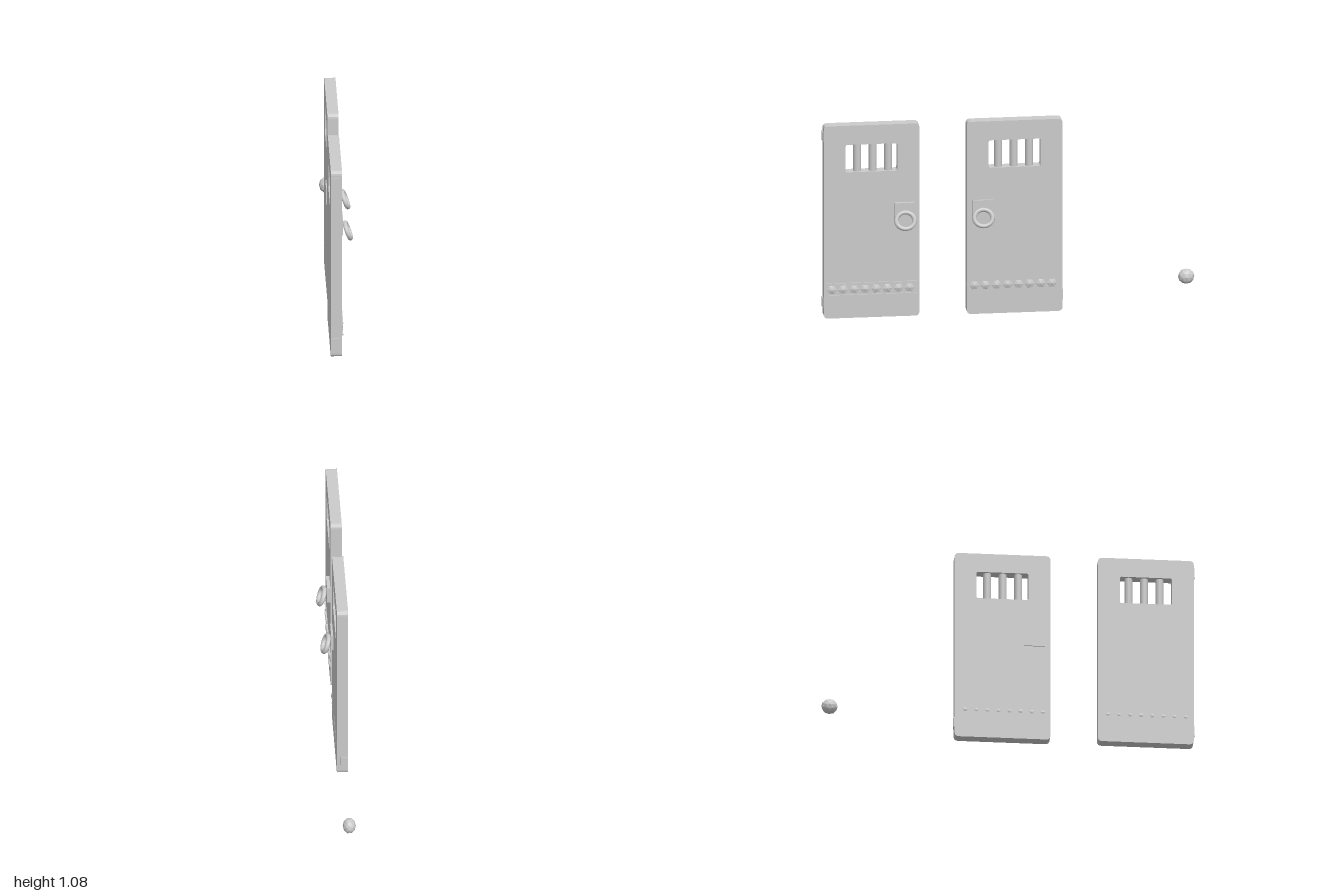
import * as THREE from 'three';

const grey = new THREE.MeshStandardMaterial({ color: 0xcccccc });
const faceted = new THREE.MeshStandardMaterial({ color: 0xcccccc, flatShading: true });

function add(parent, name, geometry, x, y, z, material = grey) {
  const mesh = new THREE.Mesh(geometry, material);
  mesh.name = name;
  mesh.position.set(x, y, z);
  parent.add(mesh);
  return mesh;
}

// Rounded rectangle outline, usable as a shape or a hole
function roundedRect(path, x0, y0, x1, y1, r) {
  path.moveTo(x0 + r, y0);
  path.lineTo(x1 - r, y0);
  path.quadraticCurveTo(x1, y0, x1, y0 + r);
  path.lineTo(x1, y1 - r);
  path.quadraticCurveTo(x1, y1, x1 - r, y1);
  path.lineTo(x0 + r, y1);
  path.quadraticCurveTo(x0, y1, x0, y1 - r);
  path.lineTo(x0, y0 + r);
  path.quadraticCurveTo(x0, y0, x0 + r, y0);
  return path;
}

// Faceted stud, slightly flattened along x
function addStud(parent, name, x, z) {
  add(parent, name, new THREE.IcosahedronGeometry(1, 1), x, 0.163, z, faceted).scale.set(0.035, 0.042, 0.044);
}

// One door leaf lying in the yz plane; d.side is the z direction of its hinge edge
function createDoor(d) {
  const door = new THREE.Group();
  door.name = d.name;
  const half = 0.2565, thick = 0.06, xMid = d.face - thick / 2;
  const windowZ = d.z - d.windowShift;

  // Slab with the barred window cut out (shape x runs along -z)
  const shape = roundedRect(new THREE.Shape(), -half, 0.003, half, 1.08, 0.024);
  shape.holes.push(roundedRect(new THREE.Path(), d.windowShift - 0.139, 0.819, d.windowShift + 0.139, 0.973, 0.01));
  const slab = new THREE.ExtrudeGeometry(shape, { depth: thick, bevelEnabled: false, curveSegments: 4 });
  slab.rotateY(Math.PI / 2);
  add(door, 'slab', slab, d.face - thick, 0, d.z);

  // Window bars
  for (let i = -1; i <= 1; i++) {
    add(door, 'windowBar', new THREE.CylinderGeometry(0.021, 0.021, 0.17, 12), xMid, 0.896, windowZ + d.barShift + i * 0.083);
  }

  // Row of studs between two thin rails
  for (let i = 0; i < 8; i++) addStud(door, 'stud', d.face - 0.028, d.studZ - i * 0.0593);
  for (const y of [0.13, 0.196]) {
    add(door, 'rail', new THREE.BoxGeometry(0.02, 0.008, 0.49), -0.0105, y, d.z);
  }

  // Lock plate passing through the slab, with a hanging pull ring
  add(door, 'lockPlate', new THREE.BoxGeometry(0.077, 0.094, 0.112), -0.0275, 0.595, d.lockZ);
  const staple = add(door, 'ringStaple', new THREE.CylinderGeometry(0.008, 0.008, 0.024, 8), 0.018, 0.595, d.lockZ);
  staple.rotation.z = Math.PI / 2;
  const ring = new THREE.TorusGeometry(0.049, 0.0125, 10, 28);
  ring.rotateY(Math.PI / 2);
  ring.scale(1, 0.9, 1);
  ring.rotateZ(0.36);
  add(door, 'pullRing', ring, 0.038, 0.552, d.lockZ);

  // Hinge blocks on the outer edge
  for (const y of d.hinges) {
    add(door, 'hinge', new THREE.BoxGeometry(0.038, 0.054, 0.02), -0.039, y, d.z + d.side * (half - 0.0045));
  }
  return door;
}

export function createModel() {
  const group = new THREE.Group();
  group.name = 'cellDoors';
  group.add(createDoor({
    name: 'frontDoor', z: 0.7355, face: -0.007, side: 1, windowShift: 0, barShift: -0.008,
    studZ: 0.948, lockZ: 0.559, hinges: [0.088, 1.017],
  }));
  group.add(createDoor({
    name: 'backDoor', z: -0.0305, face: 0, side: -1, windowShift: 0, barShift: 0.003,
    studZ: 0.185, lockZ: 0.141, hinges: [0.088],
  }));

  // Loose stud lying apart from the doors
  addStud(group, 'looseStud', -0.03, -0.953);
  return group;
}
